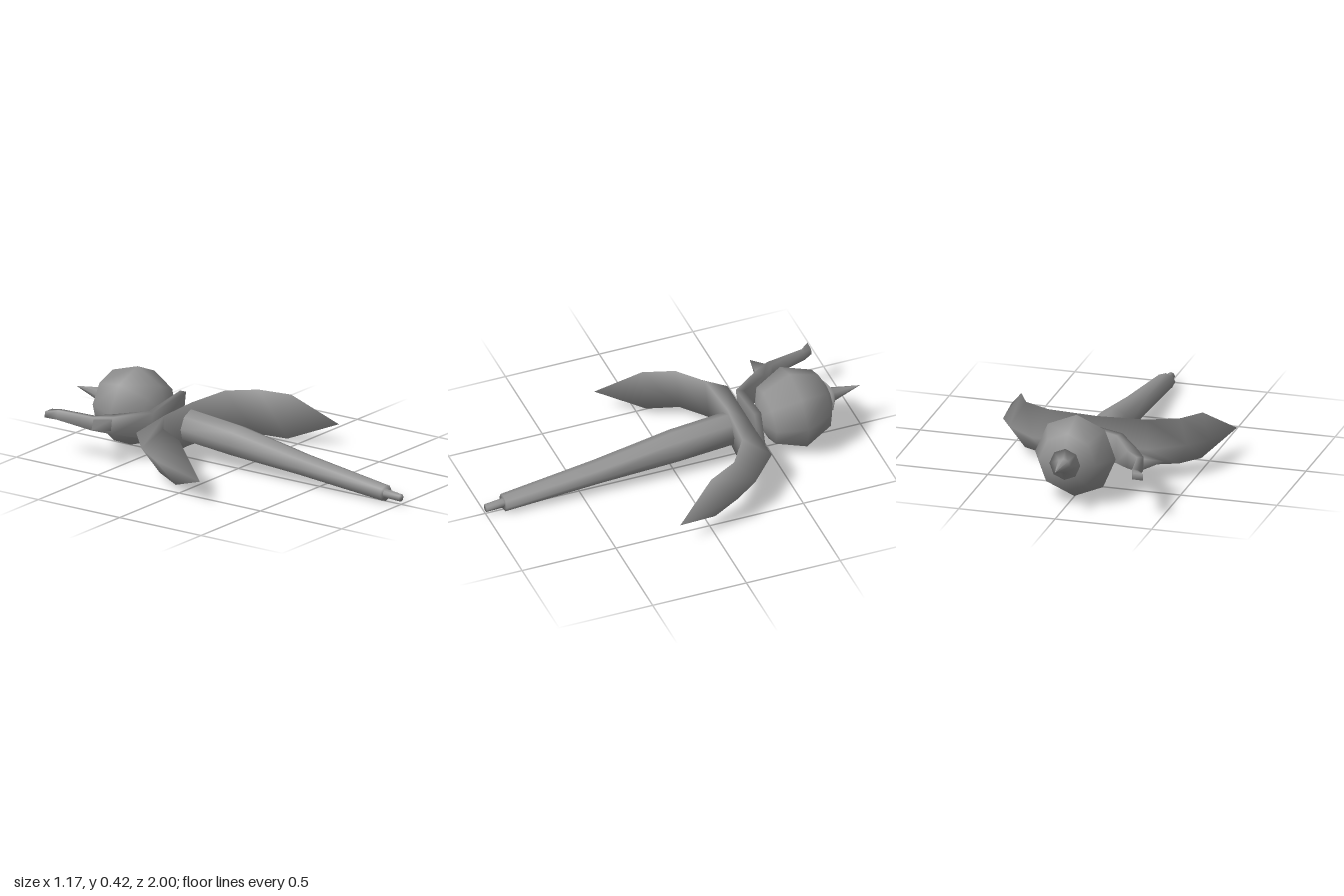
import * as THREE from 'three';
import { mergeVertices } from 'three/addons/utils/BufferGeometryUtils.js';

// Smooth skin through rings of equal point count, closed at both ends, wound outward.
function loft(rings) {
  const n = rings[0].length;
  const points = rings.flat().map((p) => new THREE.Vector3().fromArray(p));
  const last = points.length - n;
  const triangles = [];
  for (let i = 0; i < last; i += n) {
    for (let j = 0; j < n; j++) {
      const a = i + j;
      const b = i + ((j + 1) % n);
      triangles.push([a, b, b + n]);
      triangles.push([a, b + n, a + n]);
    }
  }
  for (let j = 1; j < n - 1; j++) {
    triangles.push([0, j + 1, j]);
    triangles.push([last, last + j, last + j + 1]);
  }

  // Drop empty triangles and measure the signed volume
  let volume = 0;
  const solid = triangles.filter((t) => {
    const p = points[t[0]];
    const q = points[t[1]];
    const r = points[t[2]];
    const cross = new THREE.Vector3().crossVectors(q, r);
    volume += p.dot(cross);
    return new THREE.Triangle(p, q, r).getArea() > 1e-8;
  });
  if (volume < 0) {
    solid.forEach((t) => t.reverse());
  }

  const raw = new THREE.BufferGeometry().setFromPoints(points);
  raw.setIndex(solid.flat());
  const geometry = mergeVertices(raw);
  geometry.computeVertexNormals();
  return geometry;
}

// Upright octagonal ring at a given z.
function oval(z, y, rx, ry) {
  const ring = [];
  for (let i = 0; i < 8; i++) {
    const a = (i * Math.PI) / 4;
    ring.push([Math.cos(a) * rx, y + Math.sin(a) * ry, z]);
  }
  return ring;
}

// Rectangle over two plan points, its top leaning slightly forward.
function slab(x1, z1, x2, z2, y, h) {
  const lean = h * 0.11;
  return [
    [x1, y - h, z1 - lean],
    [x1, y + h, z1 + lean],
    [x2, y + h, z2 + lean],
    [x2, y - h, z2 - lean],
  ];
}

// Blade section: sharp outer edge, then top and bottom of the flat inner side.
function bladeRing(innerX, innerZ, outerX, outerZ, y, h) {
  return [
    [outerX, y + h * 0.1, outerZ],
    [innerX, y + h, innerZ],
    [innerX, y - h, innerZ - h * 0.19],
  ];
}

export function createModel() {
  const group = new THREE.Group();
  const material = new THREE.MeshStandardMaterial({ color: 0x929292 });

  function add(name, geometry, parent) {
    const mesh = new THREE.Mesh(geometry, material);
    mesh.name = name;
    parent.add(mesh);
  }

  // Tapered handle, rising gently towards the head
  const handleRings = [
    oval(0.905, 0.045, 0.05, 0.041),
    oval(0.4, 0.1, 0.067, 0.056),
    oval(0, 0.146, 0.083, 0.083),
    oval(-0.31, 0.174, 0.084, 0.085),
  ];
  add('handle', loft(handleRings), group);
  const tipRings = [
    oval(1, 0.037, 0.02, 0.02),
    oval(0.88, 0.047, 0.026, 0.024),
  ];
  add('handleTip', loft(tipRings), group);

  // Crescent blade: one arm from the middle to the point, then mirrored
  const arm = [
    bladeRing(0.255, -0.27, 0.3, -0.41, 0.178, 0.116),
    bladeRing(0.4, -0.17, 0.46, -0.26, 0.165, 0.116),
    bladeRing(0.47, -0.02, 0.535, -0.12, 0.148, 0.117),
    bladeRing(0.585, 0.19, 0.585, 0.19, 0.12, 0),
  ];
  const mirrored = arm.map((ring) => ring.map((p) => [-p[0], p[1], p[2]]));
  const middle = bladeRing(0, -0.29, 0, -0.41, 0.178, 0.115);
  const bladeRings = mirrored.reverse().concat([middle], arm);
  add('crescentBlade', loft(bladeRings), group);

  // Plate behind the blade, running on into a bent side hook
  const hookRings = [
    slab(0.1, -0.444, 0.1, -0.408, 0.192, 0.112),
    slab(-0.15, -0.447, -0.17, -0.41, 0.19, 0.07),
    slab(-0.25, -0.587, -0.295, -0.557, 0.197, 0.045),
    slab(-0.32, -0.658, -0.35, -0.643, 0.205, 0.035),
    slab(-0.35, -0.838, -0.377, -0.838, 0.222, 0.025),
    slab(-0.365, -0.882, -0.42, -0.884, 0.228, 0.016),
  ];
  add('hook', loft(hookRings), group);
  const spurRings = [
    slab(-0.28, -0.56, -0.325, -0.655, 0.2, 0.035),
    slab(-0.44, -0.583, -0.44, -0.583, 0.205, 0),
  ];
  add('hookSpur', loft(spurRings), group);

  // Coarse ball with a flared rear spike, tilted in line with the handle
  const head = new THREE.Group();
  head.name = 'head';
  head.position.set(0.002, 0.212, -0.643);
  head.rotation.x = 0.1;
  group.add(head);
  const ball = new THREE.SphereGeometry(0.209, 8, 4);
  ball.rotateX(-Math.PI / 2);
  add('ball', ball, head);
  const profile = [
    new THREE.Vector2(0, 0.18),
    new THREE.Vector2(0.08, 0.184),
    new THREE.Vector2(0.035, 0.21),
    new THREE.Vector2(0, 0.357),
  ];
  const spike = new THREE.LatheGeometry(profile, 8);
  spike.rotateX(-Math.PI / 2);
  add('spike', spike, head);

  return group;
}
